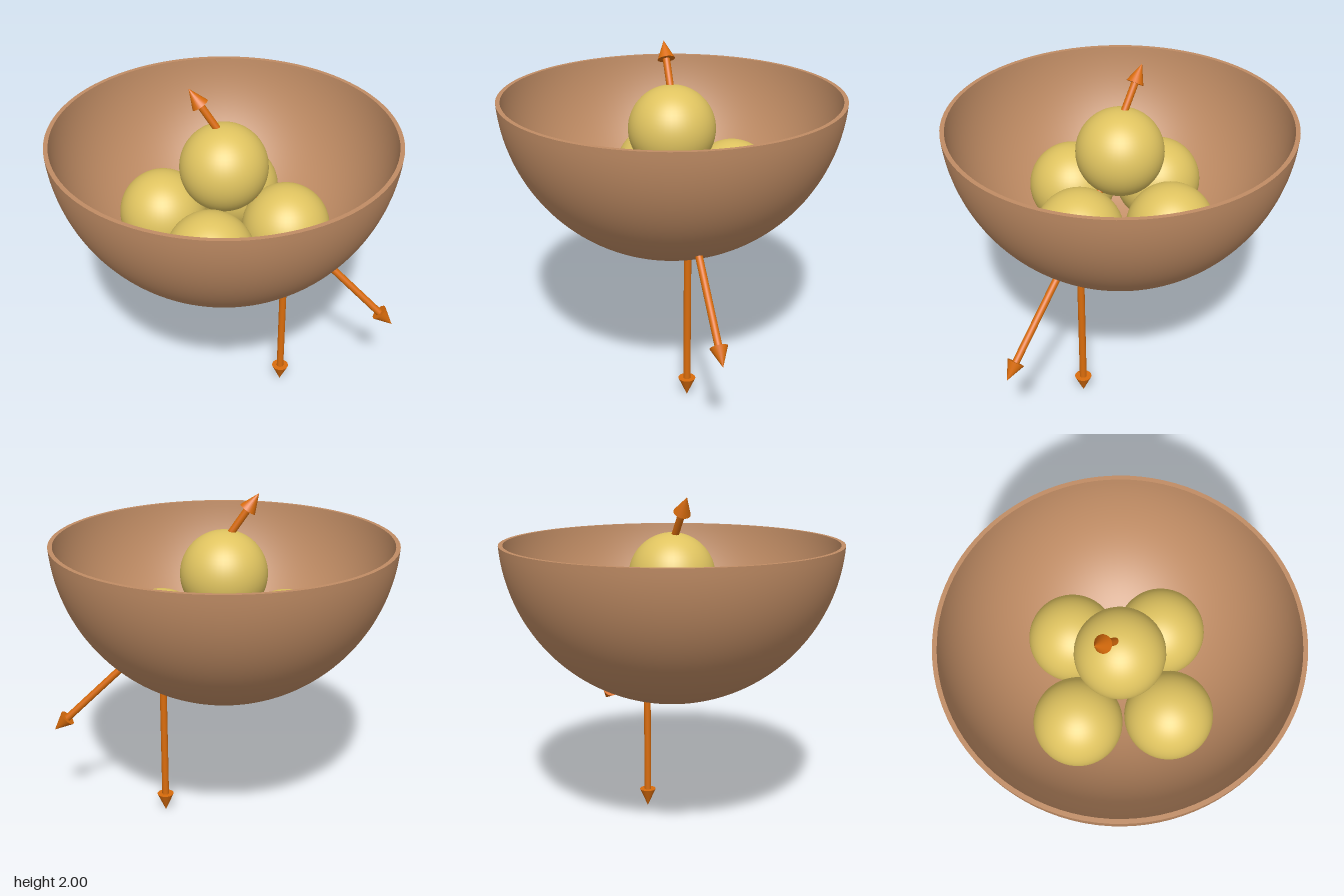
import * as THREE from 'three';

export function createModel() {
  const model = new THREE.Group();
  const clay = new THREE.MeshStandardMaterial({ name: 'brown clay', color: 0xc08c64 });
  const yellow = new THREE.MeshStandardMaterial({ name: 'soft yellow', color: 0xe0c460 });
  const orange = new THREE.MeshStandardMaterial({ name: 'orange', color: 0xd96c0c });

  const add = (parent, geometry, material, name) => {
    const mesh = new THREE.Mesh(geometry, material);
    mesh.name = name;
    parent.add(mesh);
    return mesh;
  };

  // Bowl: two spherical shells joined by a flat rim
  const centreY = 1.792, rimY = 1.73, outerR = 0.987, innerR = 0.962;
  const arc = (radius) => {
    const end = Math.acos((centreY - rimY) / radius);
    return Array.from({ length: 41 }, (_, i) => {
      const a = end * i / 40;
      return new THREE.Vector2(radius * Math.sin(a), centreY - radius * Math.cos(a));
    });
  };
  const outer = arc(outerR), inner = arc(innerR).reverse();
  const bowl = new THREE.Group();
  bowl.name = 'bowl';
  add(bowl, new THREE.LatheGeometry(outer, 96), clay, 'bowlOutside');
  add(bowl, new THREE.LatheGeometry([outer[40], inner[0]], 96), clay, 'bowlRim');
  add(bowl, new THREE.LatheGeometry(inner, 96), clay, 'bowlInside');
  model.add(bowl);

  // Four balls resting in the bowl, and one on top
  const ballGeometry = new THREE.SphereGeometry(0.251, 48, 32);
  for (const x of [-0.256, 0.256]) {
    for (const z of [-0.256, 0.256]) {
      add(model, ballGeometry, yellow, 'lowerBall').position.set(x, 1.182, z);
    }
  }
  add(model, ballGeometry, yellow, 'topBall').position.set(0, 1.535, 0);

  // Arrows: a shaft and a cone head along the line from start to tip
  const headLength = 0.112;
  const addArrow = (name, start, tip) => {
    const from = new THREE.Vector3(...start);
    const direction = new THREE.Vector3(...tip).sub(from);
    const length = direction.length(), shaftLength = length - headLength;
    const arrow = new THREE.Group();
    arrow.name = name;
    add(arrow, new THREE.CylinderGeometry(0.021, 0.021, shaftLength, 24), orange, 'arrowShaft')
      .position.y = shaftLength / 2;
    add(arrow, new THREE.ConeGeometry(0.05, headLength, 24), orange, 'arrowHead')
      .position.y = length - headLength / 2;
    arrow.position.copy(from);
    arrow.quaternion.setFromUnitVectors(new THREE.Vector3(0, 1, 0), direction.normalize());
    model.add(arrow);
  };
  addArrow('downArrow', [0.256, 1.182, 0.256], [0.256, 0, 0.256]);
  addArrow('outwardArrow', [0.128, 1.36, 0.128], [0.735, 0.55, 0.71]);
  addArrow('upArrow', [0.115, 1.48, 0.115], [-0.138, 2, -0.138]);

  return model;
}
